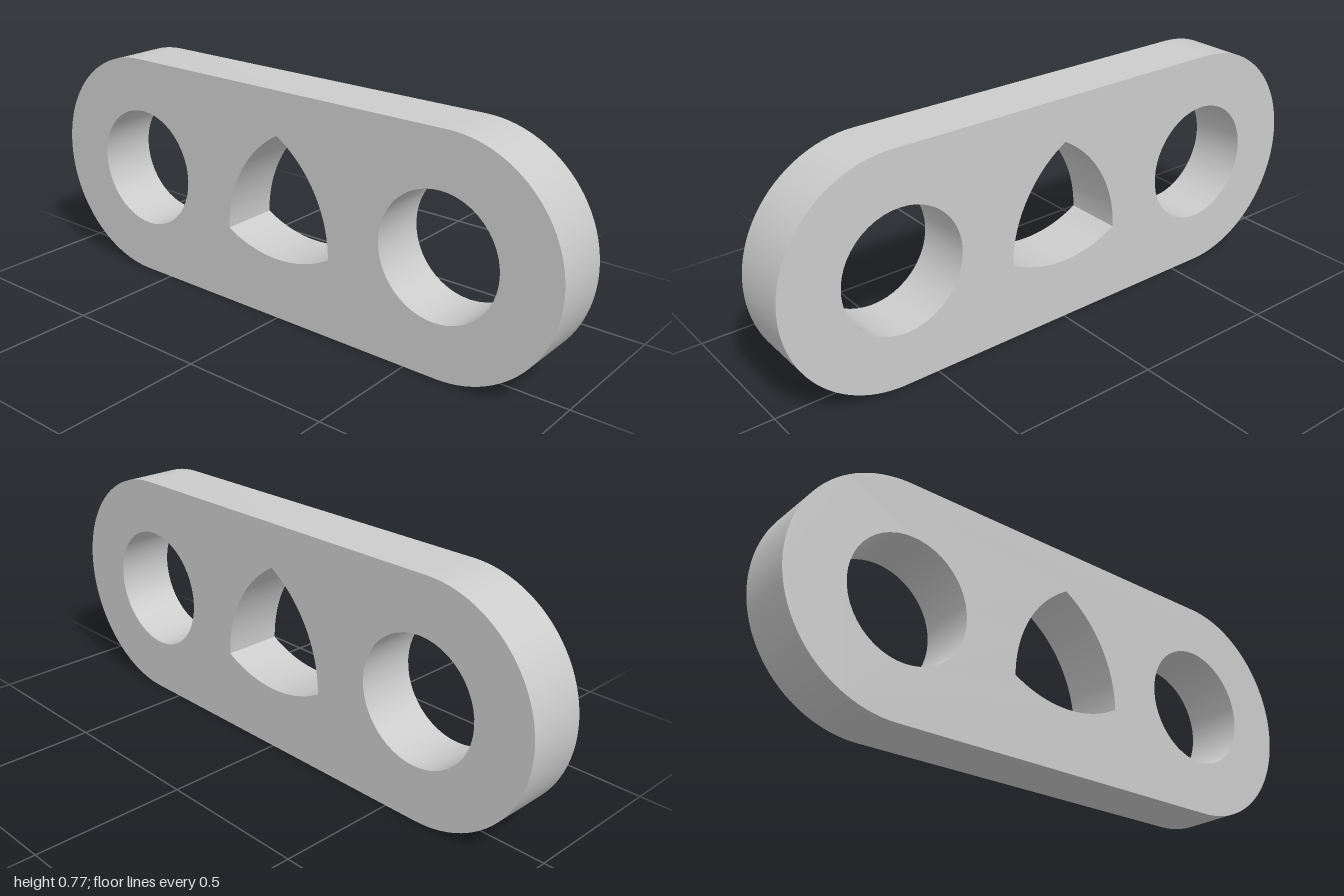
import * as THREE from 'three';
import { toCreasedNormals } from 'three/addons/utils/BufferGeometryUtils.js';

const HALF_HEIGHT = 0.385;  // also the radius of the rounded ends
const THICKNESS = 0.2;
const END_CENTRE = 1 - HALF_HEIGHT;
const HOLE_OFFSET = 0.6;
const HOLE_RADIUS = 0.205;
const TRIANGLE_RADIUS = 0.24;

// Plate outline: a slot shape with two half-round ends
function slotOutline() {
  const shape = new THREE.Shape();
  shape.absarc(END_CENTRE, 0, HALF_HEIGHT, -Math.PI / 2, Math.PI / 2, false);
  shape.absarc(-END_CENTRE, 0, HALF_HEIGHT, Math.PI / 2, Math.PI * 1.5, false);
  shape.closePath();
  return shape;
}

function roundHole(x) {
  const path = new THREE.Path();
  path.absarc(x, 0, HOLE_RADIUS, 0, Math.PI * 2, false);
  return path;
}

// Triangle with bulging sides: each side is an arc about the opposite corner
function curvedTriangleHole(radius) {
  const path = new THREE.Path();
  const side = radius * Math.sqrt(3);
  for (let i = 0; i < 3; i++) {
    const corner = Math.PI * (-1 / 6 + i * 2 / 3);
    const middle = corner + Math.PI;
    path.absarc(radius * Math.cos(corner), radius * Math.sin(corner), side,
      middle - Math.PI / 6, middle + Math.PI / 6, false);
  }
  return path;
}

export function createModel() {
  const group = new THREE.Group();
  group.name = 'linkPlate';

  const shape = slotOutline();
  shape.holes.push(roundHole(-HOLE_OFFSET), roundHole(HOLE_OFFSET),
    curvedTriangleHole(TRIANGLE_RADIUS));

  const geometry = new THREE.ExtrudeGeometry(shape, {
    depth: THICKNESS, bevelEnabled: false, curveSegments: 24,
  });
  // Centre the thickness, turn the length along z and stand it on the ground
  geometry.translate(0, 0, -THICKNESS / 2);
  geometry.rotateY(Math.PI / 2);
  geometry.translate(0, HALF_HEIGHT, 0);

  const plate = new THREE.Mesh(toCreasedNormals(geometry, 0.5),
    new THREE.MeshStandardMaterial({ color: 0xcccccc }));
  plate.name = 'plate';
  group.add(plate);
  return group;
}
